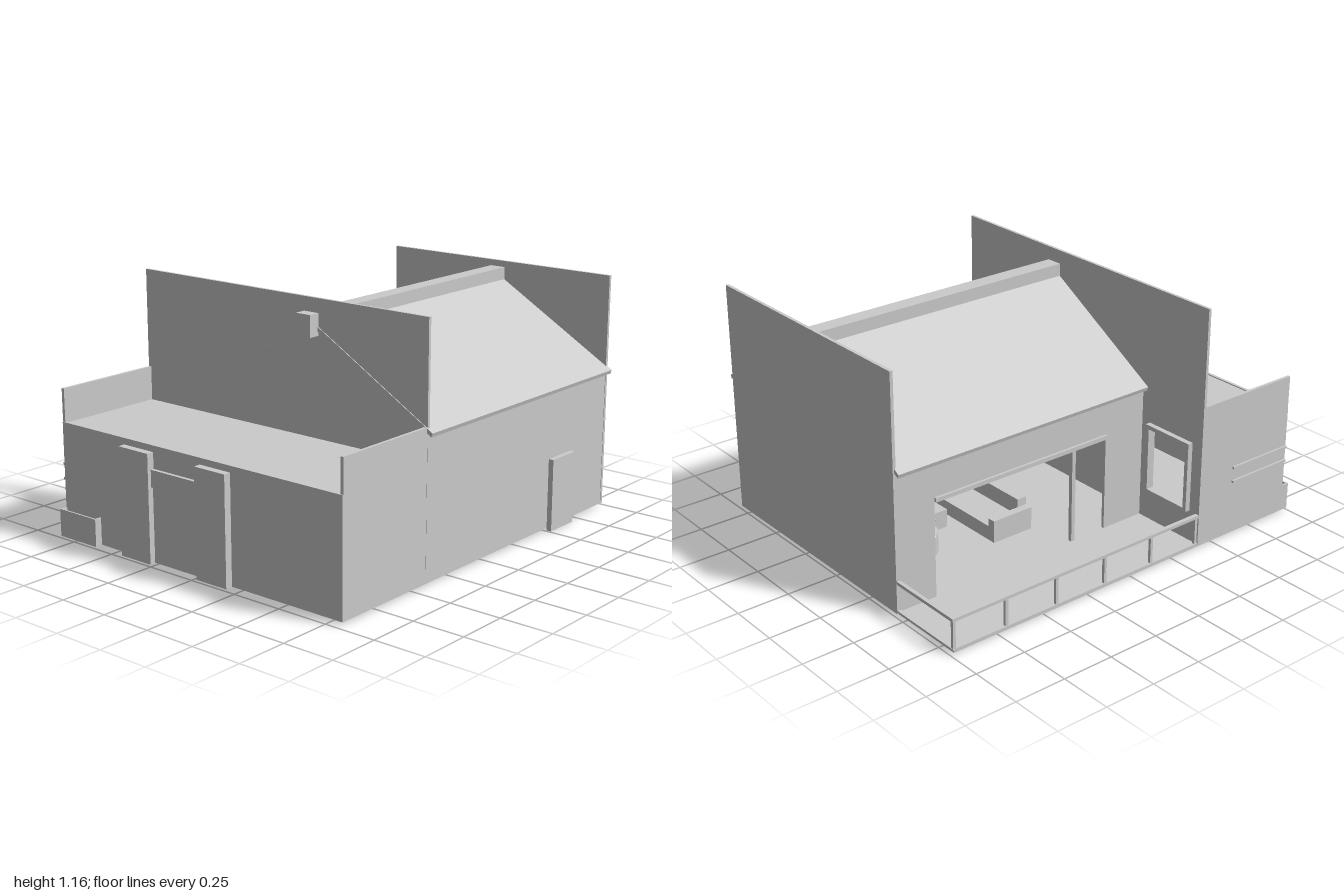
import * as THREE from 'three';

const material = new THREE.MeshStandardMaterial({ color: 0xcccccc, flatShading: true, side: THREE.DoubleSide });

function add(group, name, geometry) {
  const mesh = new THREE.Mesh(geometry, material);
  mesh.name = name;
  group.add(mesh);
  return mesh;
}

// Box given by its lower and upper limits on each axis
function block(group, name, x0, x1, y0, y1, z0, z1) {
  const mesh = add(group, name, new THREE.BoxGeometry(x1 - x0, y1 - y0, z1 - z0));
  mesh.position.set((x0 + x1) / 2, (y0 + y1) / 2, (z0 + z1) / 2);
  return mesh;
}

function rect(Type, a0, a1, b0, b1) {
  return new Type([[a0, b0], [a1, b0], [a1, b1], [a0, b1]].map(p => new THREE.Vector2(...p)));
}

// Flat wall with one rectangular opening, drawn in (a, y) and extruded
function openWall(outer, hole, depth) {
  const shape = rect(THREE.Shape, ...outer);
  shape.holes.push(rect(THREE.Path, ...hole));
  return new THREE.ExtrudeGeometry(shape, { depth, bevelEnabled: false });
}

// Turn a profile drawn in (z, y) so its extrusion runs along -x
const alongX = geometry => geometry.rotateY(-Math.PI / 2);

function makeArmchair(name, x, z, turn) {
  const chair = new THREE.Group();
  chair.name = name;
  const seat = add(chair, 'seat', new THREE.CylinderGeometry(0.075, 0.06, 0.07, 12));
  seat.position.y = 0.035;
  // Curved backrest wrapping three quarters of the seat
  const arc = new THREE.Shape();
  arc.absarc(0, 0, 0.088, -0.5, Math.PI + 0.5, false);
  arc.absarc(0, 0, 0.062, Math.PI + 0.5, -0.5, true);
  const back = add(chair, 'backrest', new THREE.ExtrudeGeometry(arc, { depth: 0.1, bevelEnabled: false, curveSegments: 10 }));
  back.rotation.x = -Math.PI / 2;
  back.position.y = 0.04;
  chair.position.set(x, 0.02, z);
  chair.rotation.y = turn;
  return chair;
}

function makePlant(x, z) {
  const plant = new THREE.Group();
  plant.name = 'pottedPlant';
  add(plant, 'pot', new THREE.CylinderGeometry(0.035, 0.025, 0.06, 10)).position.y = 0.03;
  add(plant, 'stem', new THREE.CylinderGeometry(0.006, 0.006, 0.3, 6)).position.y = 0.2;
  for (let i = 0; i < 8; i++) {
    const leaf = add(plant, 'leaf', new THREE.SphereGeometry(0.03, 6, 4));
    const a = i * 2.4;
    leaf.scale.set(1, 0.3, 0.6);
    leaf.position.set(Math.cos(a) * 0.025, 0.12 + i * 0.034, Math.sin(a) * 0.025);
    leaf.rotation.set(0, -a, 0.4);
  }
  plant.position.set(x, 0.02, z);
  return plant;
}

function makeRailing() {
  const railing = new THREE.Group();
  railing.name = 'terraceRailing';
  for (const [y0, y1] of [[0.02, 0.027], [0.155, 0.17]]) {
    block(railing, 'backRail', -0.405, 0.99, y0, y1, -0.835, -0.815);
    block(railing, 'sideRail', 0.972, 0.99, y0, y1, -0.815, -0.45);
  }
  for (let i = 0; i < 6; i++) {
    const x = -0.395 + i * 0.275;
    block(railing, 'railPost', x - 0.007, x + 0.007, 0.02, 0.158, -0.832, -0.818);
  }
  return railing;
}

export function createModel() {
  const model = new THREE.Group();
  model.name = 'house';

  // Ground floor and terrace
  block(model, 'floorSlab', -0.96, 0.985, 0.01, 0.02, -0.835, 0.805);

  // Front wall and door
  block(model, 'frontWall', -0.41, 0.98, 0.012, 0.685, 0.795, 0.81);
  block(model, 'frontDoor', 0.51, 0.69, 0.0, 0.345, 0.81, 0.835);

  // Tall side walls
  block(model, 'tallWallLeft', 0.977, 0.992, 0.012, 1.13, -0.45, 0.812);
  const party = add(model, 'tallWallRight',
    alongX(openWall([-0.835, 0.812, 0.012, 1.165], [-0.755, -0.52, 0.185, 0.49], 0.014)));
  party.position.x = -0.406;
  const frame = add(model, 'terraceWindowFrame',
    alongX(openWall([-0.775, -0.5, 0.17, 0.51], [-0.755, -0.52, 0.185, 0.49], 0.026)));
  frame.position.x = -0.38;

  // Back wall with the wide terrace opening
  const back = add(model, 'backWall', openWall([-0.406, 0.978, 0.012, 0.69], [-0.18, 0.785, 0.02, 0.5], 0.015));
  back.position.z = -0.45;
  block(model, 'openingBeam', -0.18, 0.785, 0.48, 0.5, -0.462, -0.43);
  block(model, 'openingPost', 0.0, 0.02, 0.02, 0.48, -0.452, -0.432);

  // Pitched roof and ridge box
  const profile = [[0.84, 0.68], [0.22, 1.04], [0.14, 1.04], [-0.48, 0.68],
    [-0.475, 0.662], [0.14, 1.018], [0.22, 1.018], [0.835, 0.662]];
  const roof = add(model, 'pitchedRoof', alongX(new THREE.ExtrudeGeometry(
    new THREE.Shape(profile.map(p => new THREE.Vector2(...p))), { depth: 1.409, bevelEnabled: false })));
  roof.position.x = 0.985;
  block(model, 'ridgeBox', -0.475, 0.984, 1.0, 1.1, 0.14, 0.22);

  // Low side wing with a flat roof
  block(model, 'wingFrontWall', -0.96, -0.41, 0.012, 0.7, 0.796, 0.811);
  block(model, 'wingBackWall', -0.96, -0.41, 0.012, 0.7, -0.835, -0.82);
  block(model, 'wingSideWall', -0.965, -0.95, 0.012, 0.545, -0.832, 0.81);
  block(model, 'wingRoof', -0.952, -0.418, 0.515, 0.54, -0.822, 0.798);

  // Side entrance between two piers
  block(model, 'entrancePier', -1.0, -0.96, 0.01, 0.515, -0.43, -0.25);
  block(model, 'entrancePier', -1.0, -0.96, 0.01, 0.515, 0.03, 0.205);
  block(model, 'entranceLintel', -0.982, -0.96, 0.36, 0.44, -0.25, 0.03);
  block(model, 'entranceDoor', -0.972, -0.96, 0.012, 0.36, -0.25, 0.03);

  // Low planter at the back corner
  block(model, 'planterFront', -1.0, -0.992, 0.01, 0.14, -0.835, -0.6);
  block(model, 'planterBase', -0.992, -0.96, 0.01, 0.11, -0.83, -0.605);
  for (const z of [-0.835, -0.608]) block(model, 'planterEnd', -0.992, -0.96, 0.01, 0.14, z, z + 0.008);

  // Bars on the wing's back wall
  for (const y of [0.275, 0.345]) block(model, 'wallBar', -0.96, -0.61, y - 0.006, y + 0.006, -0.845, -0.835);

  model.add(makeRailing());

  // Living room furniture
  model.add(makeArmchair('armchairNear', 0.65, -0.14, 0.6));
  model.add(makeArmchair('armchairFar', 0.76, 0.09, -1.2));
  model.add(makePlant(0.8, -0.4));
  block(model, 'coffeeTable', 0.37, 0.55, 0.02, 0.11, 0.02, 0.2);
  const bowl = add(model, 'tableBowl', new THREE.CylinderGeometry(0.03, 0.018, 0.025, 10));
  bowl.position.set(0.46, 0.122, 0.11);
  block(model, 'sofaSeat', 0.12, 0.3, 0.02, 0.09, -0.2, 0.16);
  block(model, 'sofaBack', 0.08, 0.13, 0.02, 0.17, -0.2, 0.16);
  for (const z of [-0.24, 0.16]) block(model, 'sofaArm', 0.08, 0.3, 0.02, 0.13, z, z + 0.04);

  return model;
}
